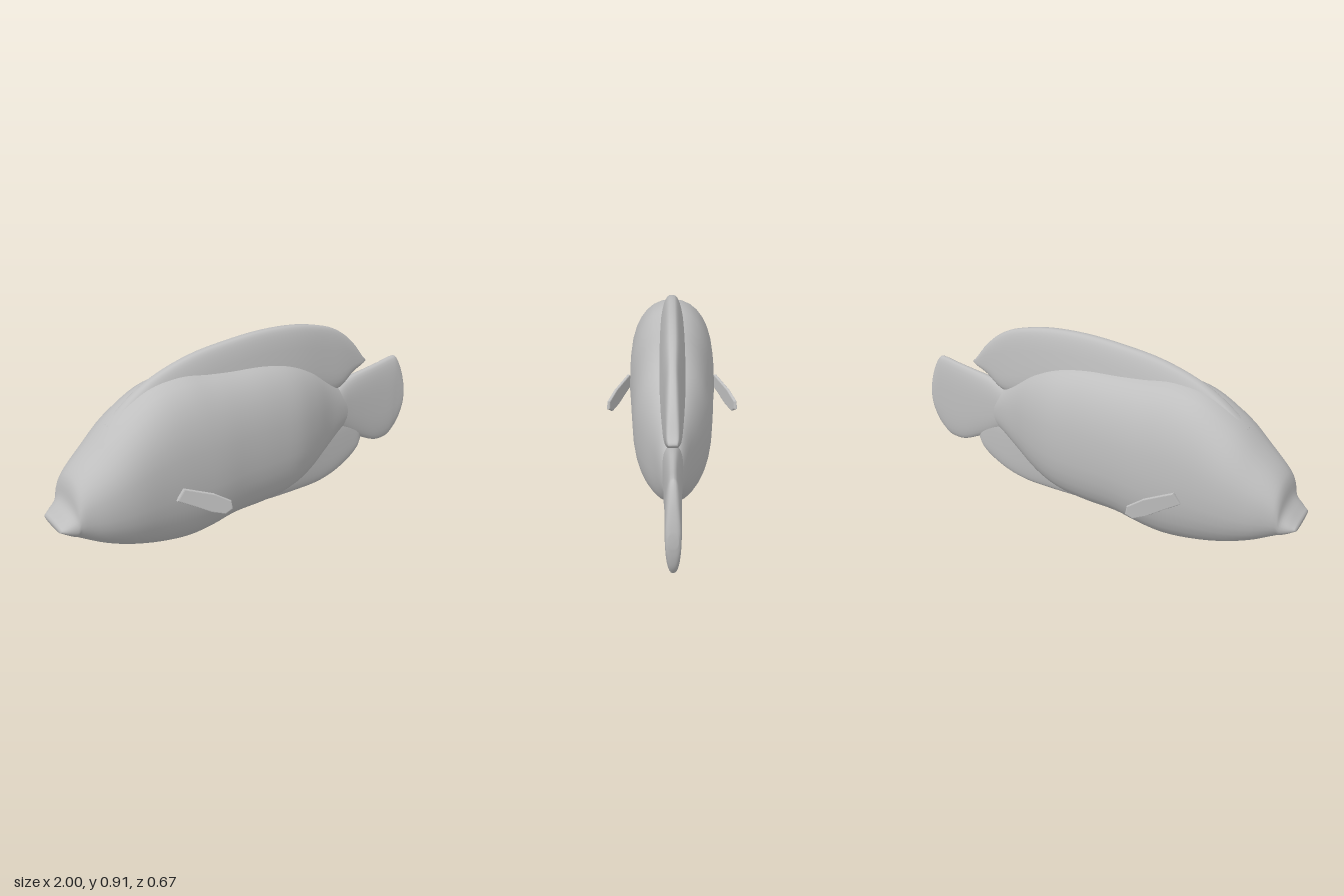
import * as THREE from 'three';

const skin = new THREE.MeshStandardMaterial({ color: 0xbfbfbf });
skin.name = 'grey skin';

// Lofts rounded sections along x. Row: [x, low y, high y, half width low, half width high]
function loft(rows, power, steps = 4, sides = 32) {
  const edge = new THREE.CatmullRomCurve3(rows.map(r => new THREE.Vector3(r[0], r[1], r[2])), false, 'catmullrom', 0.5);
  const width = new THREE.CatmullRomCurve3(rows.map(r => new THREE.Vector3(r[3], r[4] ?? r[3], 0)), false, 'catmullrom', 0.5);
  const round = v => Math.sign(v) * Math.pow(Math.abs(v), 2 / power);
  const pos = [], index = [];
  const n = (rows.length - 1) * steps;
  for (let i = 0; i <= n; i++) {
    const e = edge.getPoint(i / n), w = width.getPoint(i / n);
    for (let j = 0; j < sides; j++) {
      const a = (j / sides) * Math.PI * 2;
      const up = round(Math.sin(a));
      const half = THREE.MathUtils.lerp(w.x, w.y, (up + 1) / 2);
      pos.push(e.x, (e.y + e.z) / 2 + (up * (e.z - e.y)) / 2, round(Math.cos(a)) * half);
    }
  }
  for (let i = 0; i < n; i++) {
    for (let j = 0; j < sides; j++) {
      const a = i * sides + j, b = i * sides + ((j + 1) % sides);
      index.push(a, a + sides, b, b, a + sides, b + sides);
    }
  }
  // Close both ends
  for (const [ring, flip] of [[0, false], [n, true]]) {
    const c = pos.length / 3, e = edge.getPoint(ring / n);
    pos.push(e.x, (e.y + e.z) / 2, 0);
    for (let j = 0; j < sides; j++) {
      const a = ring * sides + j, b = ring * sides + ((j + 1) % sides);
      if (flip) index.push(c, b, a); else index.push(c, a, b);
    }
  }
  const g = new THREE.BufferGeometry();
  g.setAttribute('position', new THREE.Float32BufferAttribute(pos, 3));
  g.setIndex(index);
  g.computeVertexNormals();
  return g;
}

// Thin side fin, swept outwards towards its tip
function pectoralFin(side) {
  const outline = [[-0.505, 0.315], [-0.44, 0.285], [-0.38, 0.255], [-0.33, 0.243], [-0.305, 0.265],
    [-0.31, 0.3], [-0.37, 0.335], [-0.48, 0.365]];
  const shape = new THREE.Shape(outline.map(p => new THREE.Vector2(p[0], p[1])));
  const g = new THREE.ExtrudeGeometry(shape, {
    depth: 0.008, bevelEnabled: true, bevelThickness: 0.004, bevelSize: 0.005, bevelSegments: 2,
  });
  const p = g.attributes.position;
  for (let i = 0; i < p.count; i++) {
    p.setZ(i, p.getZ(i) - 0.004 + side * (0.212 + (p.getX(i) + 0.51) * 0.55));
  }
  g.computeVertexNormals();
  return g;
}

export function createModel() {
  const fish = new THREE.Group();
  fish.name = 'fish';
  const add = (name, geometry) => {
    const mesh = new THREE.Mesh(geometry, skin);
    mesh.name = name;
    fish.add(mesh);
  };

  // Body from the lips to the root of the tail
  add('body', loft([
    [-1.0, 0.245, 0.27, 0.085], [-0.97, 0.222, 0.3, 0.108], [-0.935, 0.198, 0.345, 0.125],
    [-0.92, 0.188, 0.42, 0.135], [-0.89, 0.17, 0.475, 0.15], [-0.8, 0.12, 0.565, 0.185],
    [-0.68, 0.07, 0.68, 0.21], [-0.53, 0.027, 0.775, 0.214], [-0.38, 0.007, 0.805, 0.213],
    [-0.25, 0.02, 0.795, 0.21], [-0.12, 0.045, 0.785, 0.2], [0.05, 0.05, 0.775, 0.19],
    [0.2, 0.07, 0.745, 0.175], [0.33, 0.12, 0.69, 0.135], [0.45, 0.2, 0.61, 0.085],
    [0.55, 0.28, 0.53, 0.055], [0.64, 0.33, 0.46, 0.03],
  ], 2.25));

  // Long fin along the back, thicker where it leaves the body
  add('dorsalFin', loft([
    [-0.72, 0.55, 0.645, 0.06, 0.03], [-0.6, 0.55, 0.745, 0.075, 0.035], [-0.47, 0.56, 0.82, 0.085, 0.035],
    [-0.3, 0.58, 0.875, 0.09, 0.035], [-0.12, 0.6, 0.902, 0.085, 0.035], [0.08, 0.6, 0.916, 0.08, 0.035],
    [0.28, 0.58, 0.905, 0.07, 0.035], [0.45, 0.53, 0.867, 0.055, 0.03], [0.55, 0.53, 0.82, 0.045, 0.03],
    [0.63, 0.59, 0.752, 0.035, 0.028], [0.69, 0.622, 0.675, 0.028, 0.025], [0.715, 0.636, 0.648, 0.018, 0.018],
  ], 3.2));

  // Fin under the rear of the body
  add('analFin', loft([
    [-0.14, 0.05, 0.2, 0.03, 0.06], [0.0, 0.034, 0.25, 0.035, 0.07], [0.15, 0.024, 0.3, 0.035, 0.07],
    [0.3, 0.023, 0.35, 0.035, 0.06], [0.43, 0.027, 0.38, 0.032, 0.05], [0.54, 0.053, 0.38, 0.03, 0.04],
    [0.63, 0.098, 0.36, 0.026, 0.032], [0.69, 0.148, 0.29, 0.022, 0.025], [0.715, 0.2, 0.225, 0.014],
  ], 3));

  // Fan-shaped tail
  add('tailFin', loft([
    [0.48, 0.32, 0.5, 0.04], [0.55, 0.3, 0.545, 0.045], [0.63, 0.255, 0.57, 0.04], [0.72, 0.208, 0.585, 0.036],
    [0.82, 0.165, 0.602, 0.034], [0.9, 0.168, 0.618, 0.034], [0.935, 0.193, 0.612, 0.033],
    [0.97, 0.24, 0.55, 0.032], [0.99, 0.3, 0.48, 0.03], [1.0, 0.36, 0.42, 0.02],
  ], 2.5));

  add('leftSideFin', pectoralFin(1));
  add('rightSideFin', pectoralFin(-1));
  return fish;
}
